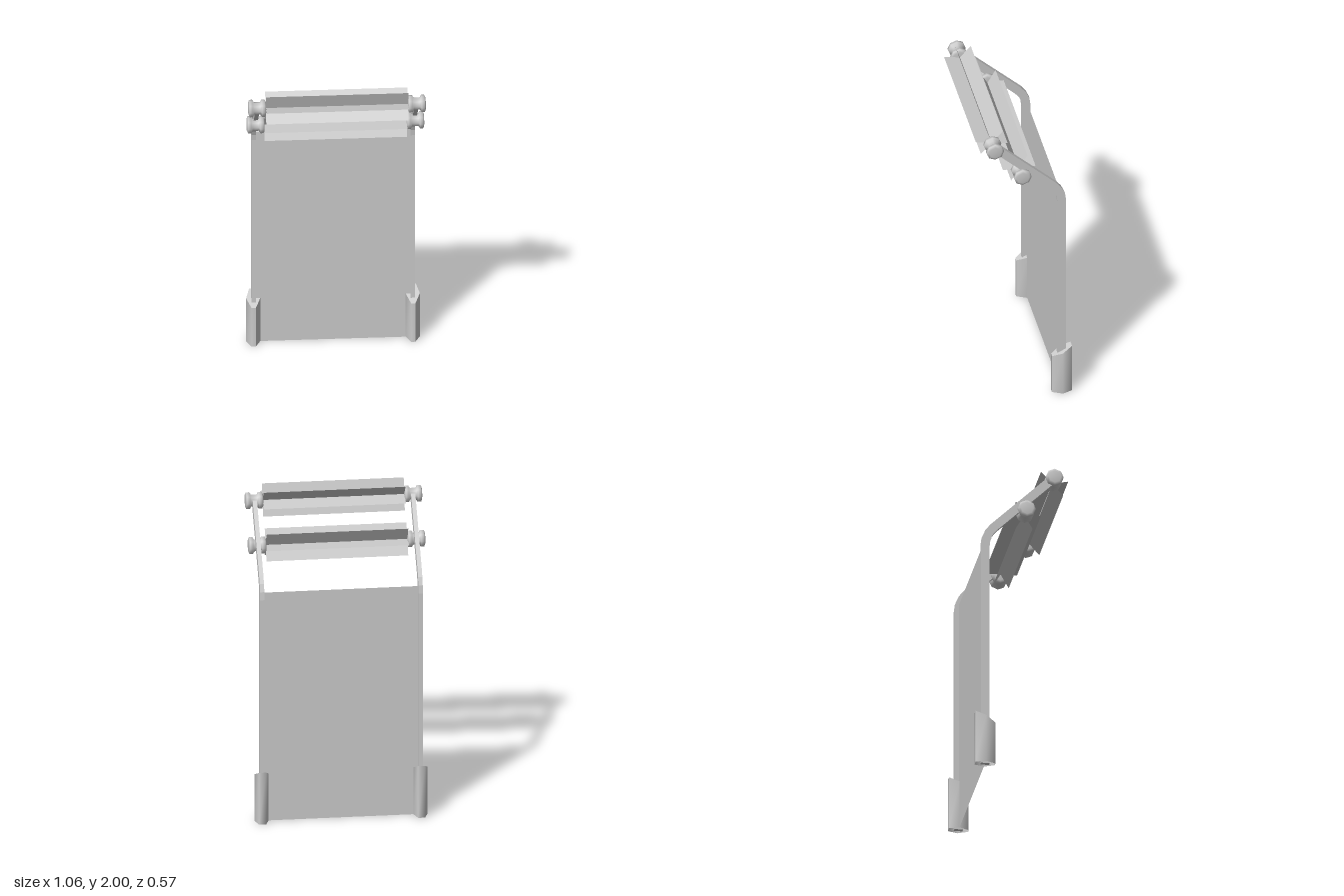
import * as THREE from 'three';

const POST_X = 0.477, POST_Z = -0.23;
const WIRES = [
  { name: 'upper', y: 1.906, z: 0.186, turn: 12 },
  { name: 'lower', y: 1.685, z: 0.017, turn: 0 },
];

const solid = new THREE.MeshStandardMaterial({ color: 0xcccccc });
const thin = new THREE.MeshStandardMaterial({ color: 0xcccccc, side: THREE.DoubleSide });

function part(name, geometry, material, parent) {
  const mesh = new THREE.Mesh(geometry, material);
  mesh.name = name;
  parent.add(mesh);
  return mesh;
}

// Flat bar swept along a bent path in the side plane (x of the path = z of the model)
function postGeometry() {
  const bend = new THREE.QuadraticBezierCurve(
    new THREE.Vector2(POST_Z, 1.44), new THREE.Vector2(POST_Z, 1.51), new THREE.Vector2(-0.18, 1.56));
  const path = [new THREE.Vector2(POST_Z, 0), ...bend.getPoints(3), new THREE.Vector2(0.184, 1.912)];
  const front = [], back = [];
  path.forEach((p, i) => {
    const a = path[Math.max(i - 1, 0)], b = path[Math.min(i + 1, path.length - 1)];
    const t1 = p.clone().sub(a).normalize(), t2 = b.clone().sub(p).normalize();
    const t = t1.add(t2).normalize();
    const n = new THREE.Vector2(t.y, -t.x).multiplyScalar(0.0265);
    front.push(p.clone().add(n));
    back.unshift(p.clone().sub(n));
  });
  const width = 0.026;
  const g = new THREE.ExtrudeGeometry(new THREE.Shape([...front, ...back]), { depth: width, bevelEnabled: false });
  return g.translate(0, 0, -width / 2).rotateY(-Math.PI / 2);
}

// Six-sided sleeve, narrower at the front, with a sloped top and an open bottom
function footGeometry() {
  const g = new THREE.CylinderGeometry(1, 1, 1, 6, 1, false, Math.PI / 6);
  const p = g.attributes.position;
  for (let i = 0; i < p.count; i++) {
    const x = p.getX(i) * (p.getZ(i) > 0.5 ? 0.6 : 1), z = p.getZ(i) * 0.07;
    p.setXYZ(i, x * 0.0425, p.getY(i) > 0 ? 0.304 - z * 0.53 : 0, z);
  }
  g.setIndex(Array.from(g.index.array).slice(0, 36 + 18));
  g.clearGroups();
  g.computeVertexNormals();
  return g;
}

// Eight-sided insulator with two flanges and a waist, lying along x
function insulatorGeometry() {
  const half = [[0, 0.053], [0.038, 0.053], [0.054, 0.046], [0.054, 0.028], [0.038, 0.018]];
  const profile = [
    ...half.map(([r, h]) => new THREE.Vector2(r, -h)),
    ...half.slice().reverse().map(([r, h]) => new THREE.Vector2(r, h)),
  ];
  return new THREE.LatheGeometry(profile, 8).rotateZ(Math.PI / 2);
}

export function createModel() {
  const model = new THREE.Group();
  model.name = 'fenceSection';

  // Fence panel between the posts
  part('meshPanel', new THREE.PlaneGeometry(POST_X * 2, 1.48), thin, model).position.set(0, 0.74, POST_Z);

  // Posts, feet and insulators on both sides
  const post = postGeometry(), foot = footGeometry(), insulator = insulatorGeometry();
  for (const [side, s] of [['left', 1], ['right', -1]]) {
    part(side + 'Post', post, solid, model).position.x = s * POST_X;
    part(side + 'Foot', foot, thin, model).position.set(s * 0.4785, 0, POST_Z);
    for (const w of WIRES) {
      part(`${side}${w.name === 'upper' ? 'Upper' : 'Lower'}Insulator`, insulator, solid, model)
        .position.set(s * 0.4785, w.y, w.z);
    }
  }

  // Each wire is three thin strips crossing at 60 degrees
  const strip = new THREE.PlaneGeometry(0.854, 0.2);
  for (const w of WIRES) {
    const wire = new THREE.Group();
    wire.name = w.name + 'Wire';
    wire.position.set(0, w.y, w.z);
    for (let i = 0; i < 3; i++) {
      const m = part('wireStrip', strip, thin, wire);
      m.rotation.x = THREE.MathUtils.degToRad(90 - w.turn - i * 60);
    }
    model.add(wire);
  }
  return model;
}
